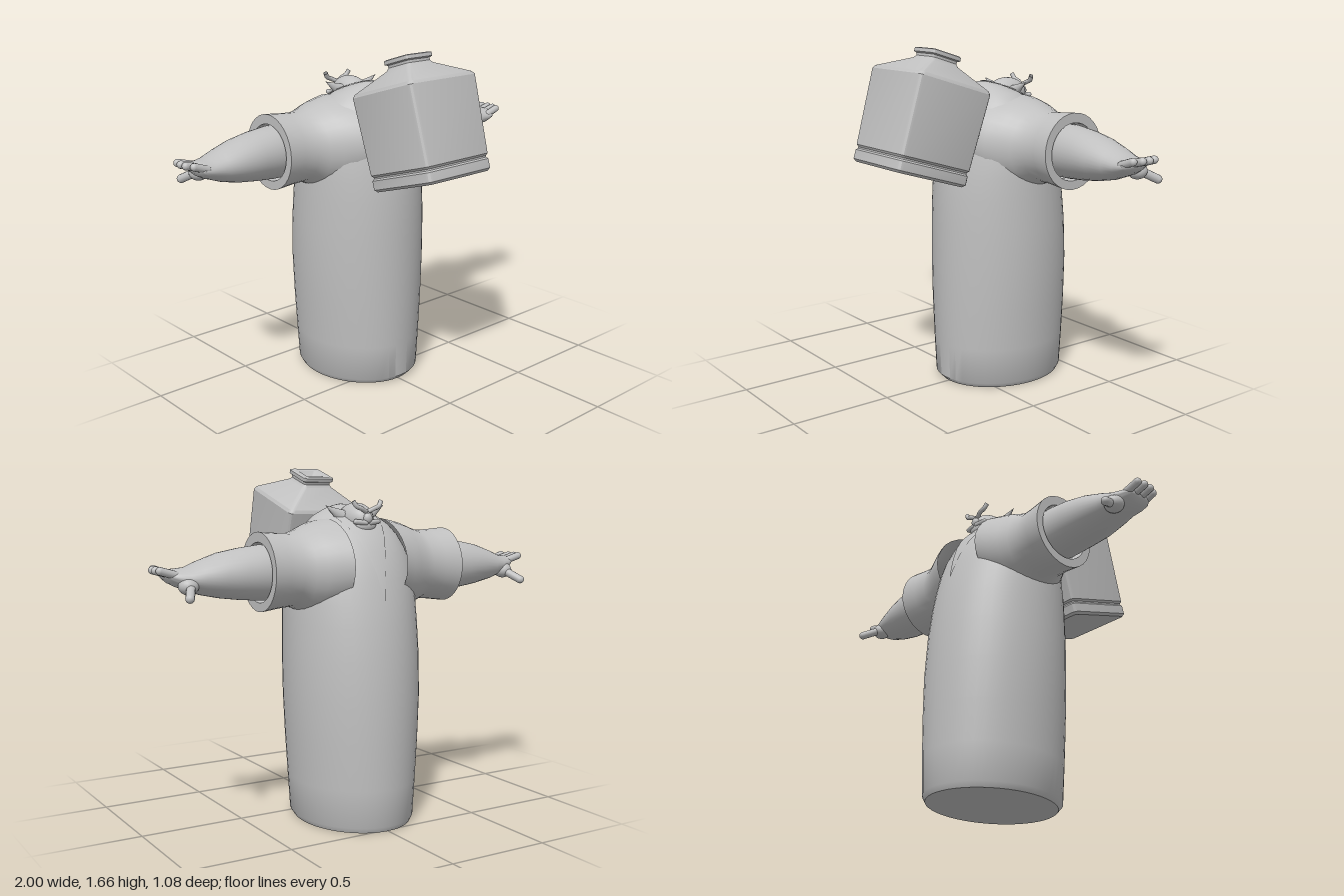
import * as THREE from 'three';
import { toCreasedNormals } from 'three/addons/utils/BufferGeometryUtils.js';

const grey = new THREE.MeshStandardMaterial({ color: 0xc0c0c0, side: THREE.DoubleSide });
grey.name = 'plain grey';

function add(parent, name, geo) {
  const mesh = new THREE.Mesh(geo, grey);
  mesh.name = name;
  parent.add(mesh);
  return mesh;
}

// Skin between closed rings of [x, y, z] points, with optional end caps
function loft(rings, capStart, capEnd, crease = 0.7) {
  const n = rings[0].length, pos = rings.flat(2), idx = [];
  for (let i = 0; i < rings.length - 1; i++)
    for (let j = 0; j < n; j++) {
      const k = (j + 1) % n, a = i * n + j, b = i * n + k, c = b + n, d = a + n;
      idx.push(a, b, c, a, c, d);
    }
  const cap = (i, flip) => {
    const c = [0, 1, 2].map(q => rings[i].reduce((s, p) => s + p[q], 0) / n);
    const ci = pos.length / 3;
    pos.push(...c);
    for (let j = 0; j < n; j++) {
      const a = i * n + j, b = i * n + (j + 1) % n;
      idx.push(ci, flip ? b : a, flip ? a : b);
    }
  };
  if (capStart) cap(0, true);
  if (capEnd) cap(rings.length - 1, false);
  const geo = new THREE.BufferGeometry();
  geo.setAttribute('position', new THREE.Float32BufferAttribute(pos, 3));
  geo.setIndex(idx);
  return toCreasedNormals(geo, crease);
}

const circle = (n, f) => Array.from({ length: n }, (_, j) => f(j / n * Math.PI * 2));

// Robe sections: y, half width, back z, front z
const robe = [
  [0, 0.265, -0.515, 0.13], [0.025, 0.28, -0.527, 0.153], [0.2, 0.292, -0.533, 0.16],
  [0.4, 0.306, -0.535, 0.165], [0.6, 0.317, -0.532, 0.165], [0.8, 0.32, -0.518, 0.162],
  [0.95, 0.318, -0.498, 0.155], [1.05, 0.317, -0.478, 0.145], [1.15, 0.313, -0.452, 0.128],
  [1.22, 0.302, -0.428, 0.112], [1.29, 0.28, -0.395, 0.09], [1.35, 0.248, -0.356, 0.064],
  [1.4, 0.205, -0.31, 0.032], [1.44, 0.155, -0.245, 0], [1.47, 0.09, -0.165, -0.035],
  [1.487, 0.035, -0.105, -0.06], [1.49, 0.003, -0.08, -0.072],
];

function robeSection(y) {
  let i = 1;
  while (i < robe.length - 1 && robe[i][0] < y) i++;
  const t = (y - robe[i - 1][0]) / (robe[i][0] - robe[i - 1][0]);
  return robe[i].map((v, q) => THREE.MathUtils.lerp(robe[i - 1][q], v, t));
}

// Height of the robe's upper surface above a point
function robeHeight(x, z) {
  let lo = 0.7, hi = 1.49;
  for (let i = 0; i < 30; i++) {
    const m = (lo + hi) / 2, [, a, z0, z1] = robeSection(m);
    const inside = (x / a) ** 2 + ((z - (z0 + z1) / 2) / ((z1 - z0) / 2)) ** 2 < 1;
    if (inside) lo = m; else hi = m;
  }
  return lo;
}

// Tapering limb lofted along x; rows are x, centre y, centre z, radius y, radius z
function limb(rows, s) {
  return loft(rows.map(([x, cy, cz, ry, rz]) =>
    circle(32, a => [s * x, cy + ry * Math.cos(a), cz + rz * Math.sin(a * s)])));
}

function ball(parent, name, p, r) {
  const m = add(parent, name, new THREE.SphereGeometry(1, 24, 16));
  m.position.set(...p);
  m.scale.set(...r);
  return m;
}

// Capsule between two points
function finger(parent, name, a, b, r) {
  const p = new THREE.Vector3(...a), q = new THREE.Vector3(...b);
  const m = add(parent, name, new THREE.CapsuleGeometry(r, p.distanceTo(q), 6, 12));
  m.position.copy(p).lerp(q, 0.5);
  m.quaternion.setFromUnitVectors(new THREE.Vector3(0, 1, 0), q.sub(p).normalize());
  return m;
}

function buildArm(parent, s) {
  const arm = new THREE.Group();
  arm.name = s > 0 ? 'leftArm' : 'rightArm';
  parent.add(arm);
  // Flared sleeve with a thick hem turned inward
  add(arm, 'sleeve', limb([
    [0.14, 1.215, -0.175, 0.215, 0.275], [0.2, 1.205, -0.18, 0.213, 0.25],
    [0.25, 1.2, -0.19, 0.203, 0.218], [0.3, 1.197, -0.197, 0.185, 0.19],
    [0.35, 1.2, -0.205, 0.166, 0.168], [0.42, 1.199, -0.212, 0.17, 0.167],
    [0.505, 1.197, -0.217, 0.179, 0.173], [0.505, 1.195, -0.218, 0.135, 0.135],
    [0.45, 1.195, -0.218, 0.13, 0.13]], s));
  add(arm, 'forearm', limb([
    [0.4, 1.195, -0.22, 0.125, 0.122], [0.5, 1.195, -0.22, 0.125, 0.122],
    [0.6, 1.193, -0.217, 0.115, 0.124], [0.7, 1.19, -0.21, 0.099, 0.119],
    [0.79, 1.184, -0.208, 0.074, 0.102], [0.85, 1.182, -0.205, 0.05, 0.09],
    [0.89, 1.187, -0.193, 0.04, 0.086], [0.92, 1.194, -0.184, 0.031, 0.077],
    [0.94, 1.198, -0.184, 0.016, 0.06], [0.945, 1.2, -0.184, 0.001, 0.01]], s));
  [[-0.242, 0.978], [-0.205, 0.984], [-0.166, 0.982], [-0.127, 0.965]].forEach(([z, x], i) =>
    finger(arm, 'finger' + (i + 1), [s * 0.9, 1.2, z], [s * x, 1.222, z], 0.018));
  finger(arm, 'thumb', [s * 0.85, 1.16, -0.27], [s * 0.895, 1.112, -0.36], 0.02);
  ball(arm, 'thumbBase', [s * 0.86, 1.155, -0.265], [0.045, 0.038, 0.045]);
}

function buildHead(parent) {
  const head = new THREE.Group();
  head.name = 'head';
  parent.add(head);
  ball(head, 'skull', [0, 1.425, -0.225], [0.072, 0.075, 0.108]);
  ball(head, 'nose', [0, 1.43, -0.33], [0.022, 0.025, 0.018]);
  ball(head, 'jaw', [0, 1.395, -0.295], [0.06, 0.04, 0.045]);
  for (const s of [1, -1]) {
    // Pointed ears and upswept brows
    const ear = add(head, 'ear', new THREE.ConeGeometry(0.036, 0.115, 16));
    ear.position.set(s * 0.11, 1.46, -0.218);
    ear.scale.z = 0.8;
    ear.rotation.z = -s * 1.05;
    const brow = new THREE.CatmullRomCurve3([[0.005, 1.46, -0.322], [0.035, 1.475, -0.33],
      [0.06, 1.485, -0.328], [0.075, 1.508, -0.322]].map(([x, y, z]) => new THREE.Vector3(s * x, y, z)));
    add(head, 'brow', new THREE.TubeGeometry(brow, 12, 0.011, 8));
    finger(head, 'moustache', [s * 0.012, 1.41, -0.332], [s * 0.06, 1.415, -0.322], 0.012);
  }
}

// Square jar with rounded edges, tilted on the back
function buildJar(parent) {
  const square = (y, h, r) => circle(16, a => {
    const j = Math.round(a / Math.PI * 8), q = Math.floor(j / 4), t = q * Math.PI / 2 + (j % 4) * Math.PI / 6;
    const cx = [1, -1, -1, 1][q] * (h - r), cz = [1, 1, -1, -1][q] * (h - r);
    return [cx + r * Math.cos(t), y, -(cz + r * Math.sin(t))];
  });
  const jar = add(parent, 'jar', loft([
    [0, 0.188, 0.02], [0.012, 0.2, 0.025], [0.055, 0.2, 0.025], [0.063, 0.192, 0.02],
    [0.07, 0.192, 0.02], [0.08, 0.2, 0.022], [0.445, 0.208, 0.022], [0.46, 0.2, 0.022],
    [0.535, 0.082, 0.018], [0.548, 0.073, 0.016], [0.56, 0.074, 0.016], [0.565, 0.084, 0.018],
    [0.582, 0.084, 0.018], [0.586, 0.076, 0.016], [0.583, 0.05, 0.014], [0.55, 0.01, 0.004],
  ].map(v => square(...v)), true, true, 0.5));
  jar.position.set(0, 1.08, 0.357);
  jar.rotation.x = -0.3;
}

export function createModel() {
  const model = new THREE.Group();
  model.name = 'robedFigure';

  add(model, 'robe', loft(robe.map(([y, a, z0, z1]) => circle(48, t =>
    [a * Math.cos(t), y, (z0 + z1) / 2 - (z1 - z0) / 2 * Math.sin(t)])), true, true));

  // V-shaped chest opening following the robe
  const outline = [[-0.085, 0.02], [-0.1, 0.06], [-0.14, 0.1], [-0.2, 0.115], [-0.26, 0.108],
    [-0.31, 0.092], [-0.36, 0.07], [-0.4, 0.049], [-0.44, 0.025], [-0.465, 0.01], [-0.475, 0.002]];
  const pos = [], idx = [], n = 8;
  outline.forEach(([z, w], i) => {
    for (let j = 0; j <= n; j++) {
      const x = w * (2 * j / n - 1);
      pos.push(x, robeHeight(x, z) + 0.004, z - 0.004);
      if (i && j) {
        const d = i * (n + 1) + j, c = d - 1, b = d - n - 1, a = b - 1;
        idx.push(a, b, d, a, d, c);
      }
    }
  });
  const chest = new THREE.BufferGeometry();
  chest.setAttribute('position', new THREE.Float32BufferAttribute(pos, 3));
  chest.setIndex(idx);
  chest.computeVertexNormals();
  add(model, 'chest', chest);

  for (const s of [1, -1]) buildArm(model, s);
  buildHead(model);
  buildJar(model);
  return model;
}
